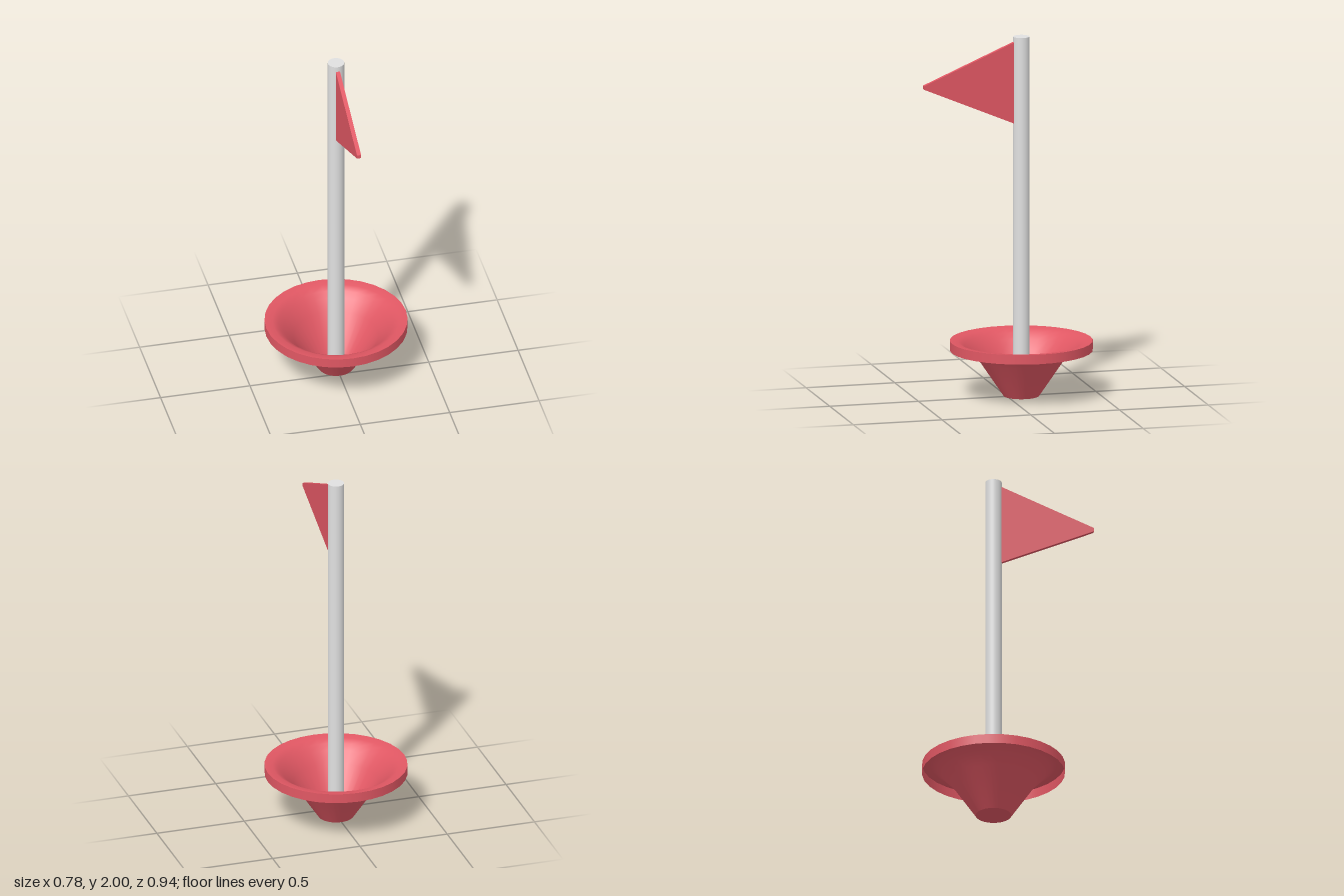
import * as THREE from 'three';

const SIDES = 32;
const POLE_Z = -0.08;

export function createModel() {
  const red = new THREE.MeshStandardMaterial({ color: 0xe05763, side: THREE.DoubleSide });
  red.name = 'red';
  const grey = new THREE.MeshStandardMaterial({ color: 0xe0e0e0 });
  grey.name = 'light grey';

  const model = new THREE.Group();
  model.name = 'golfFlag';

  const add = (name, geometry, material, y = 0, z = POLE_Z) => {
    const mesh = new THREE.Mesh(geometry, material);
    mesh.name = name;
    mesh.position.set(0, y, z);
    model.add(mesh);
  };
  const lathe = (points) =>
    new THREE.LatheGeometry(points.map(([r, y]) => new THREE.Vector2(r, y)), SIDES);

  // Thin funnel-shaped cup that flares into a flat lip
  add('cupWall', lathe([
    [0.097, 0], [0.232, 0.2], [0.285, 0.255], [0.312, 0.284], [0.345, 0.303], [0.39, 0.308],
  ]), red);
  add('cupRim', lathe([[0.39, 0.255], [0.39, 0.308]]), red);
  add('cupFloor', new THREE.CircleGeometry(0.097, SIDES).rotateX(-Math.PI / 2), red);

  // Pole standing on the cup floor
  add('pole', new THREE.CylinderGeometry(0.045, 0.045, 1.995, SIDES), grey, 1.0025);

  // Pennant with a blunt tip, pointing to the front
  const pennant = new THREE.Shape([
    [-0.042, 1.517], [0.47, 1.735], [0.47, 1.755], [-0.042, 1.973],
  ].map(([z, y]) => new THREE.Vector2(z, y)));
  const thickness = 0.023;
  const flag = new THREE.ExtrudeGeometry(pennant, { depth: thickness, bevelEnabled: false });
  flag.translate(0, 0, -thickness / 2).rotateY(-Math.PI / 2);
  add('flag', flag, red, 0, 0);

  return model;
}
